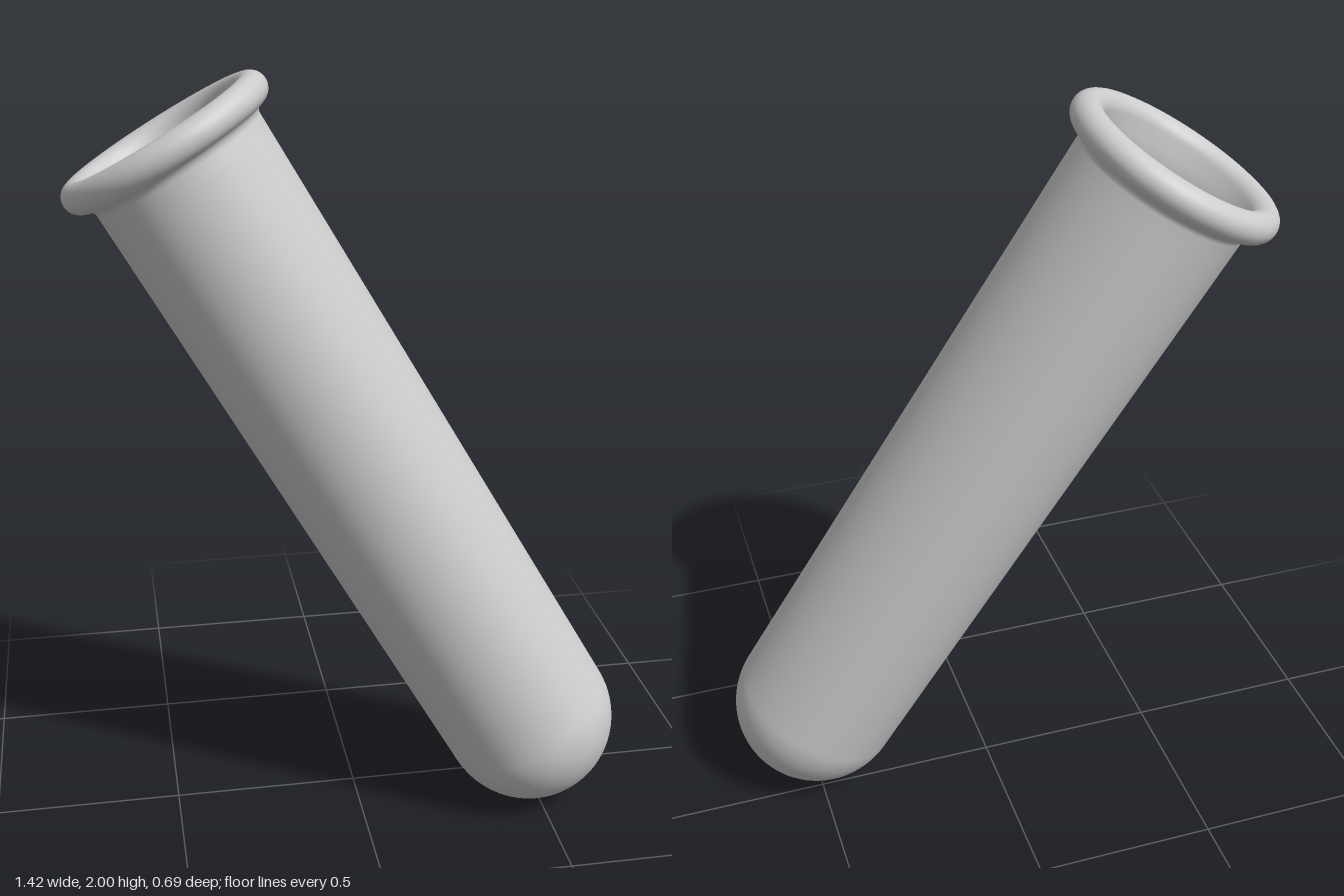
import * as THREE from 'three';

const material = new THREE.MeshStandardMaterial({ color: 0xcccccc });

// Adds a named mesh to a parent
function add(parent, name, geometry) {
  const mesh = new THREE.Mesh(geometry, material);
  mesh.name = name;
  parent.add(mesh);
  return mesh;
}

// Points of a circular arc in the lathe plane
function arc(cx, cy, r, from, to, steps) {
  return Array.from({ length: steps + 1 }, (_, i) => {
    const a = from + (to - from) * i / steps;
    return new THREE.Vector2(Math.max(0, cx + r * Math.cos(a)), cy + r * Math.sin(a));
  });
}

export function createModel() {
  const model = new THREE.Group();
  model.name = 'testTube';

  // The tube leans: its local origin is the rim centre, local y the tube axis
  const bottom = new THREE.Vector3(0.475, 0.235, 0.11);
  const top = new THREE.Vector3(-0.455, 1.833, -0.057);
  const axis = top.clone().sub(bottom);
  const length = axis.length();
  const tilted = new THREE.Group();
  tilted.name = 'tiltedTube';
  tilted.position.copy(top);
  tilted.quaternion.setFromUnitVectors(new THREE.Vector3(0, 1, 0), axis.normalize());
  model.add(tilted);

  const radius = 0.235, bore = 0.2, level = -0.12;

  // Glass: round bottom, straight wall, small fillet, rolled lip, inner wall
  const glass = [
    ...arc(0, -length, radius, -Math.PI / 2, 0, 20),
    new THREE.Vector2(radius, -0.1),
    ...arc(radius + 0.025, -0.063, 0.025, Math.PI, Math.PI / 2, 6),
    ...arc(0.25, 0, 0.04, -Math.PI / 2 + 0.3, Math.PI, 18),
    new THREE.Vector2(0.204, -0.03),
    new THREE.Vector2(bore, -0.06),
    new THREE.Vector2(bore, -0.14),
  ];
  add(tilted, 'glass', new THREE.LatheGeometry(glass, 96));

  // Liquid surface with a raised meniscus at the wall
  const meniscus = 0.035;
  const liquid = [
    ...arc(bore - meniscus, level + meniscus, meniscus, 0, -Math.PI / 2, 8),
    new THREE.Vector2(0.08, level),
    new THREE.Vector2(0, level),
  ];
  add(tilted, 'liquidSurface', new THREE.LatheGeometry(liquid, 96));

  // Bubbles floating on the liquid: x, z, radius
  const bubbles = [
    [-0.135, -0.082, 0.038], [0.057, -0.008, 0.041], [-0.003, -0.109, 0.021],
    [-0.052, -0.02, 0.02], [-0.125, 0.058, 0.017], [-0.02, 0.095, 0.021],
  ];
  for (const [x, z, r] of bubbles) {
    const bubble = add(tilted, 'bubble', new THREE.SphereGeometry(r, 28, 18));
    bubble.position.set(x, level + r * 0.2, z);
  }
  return model;
}
